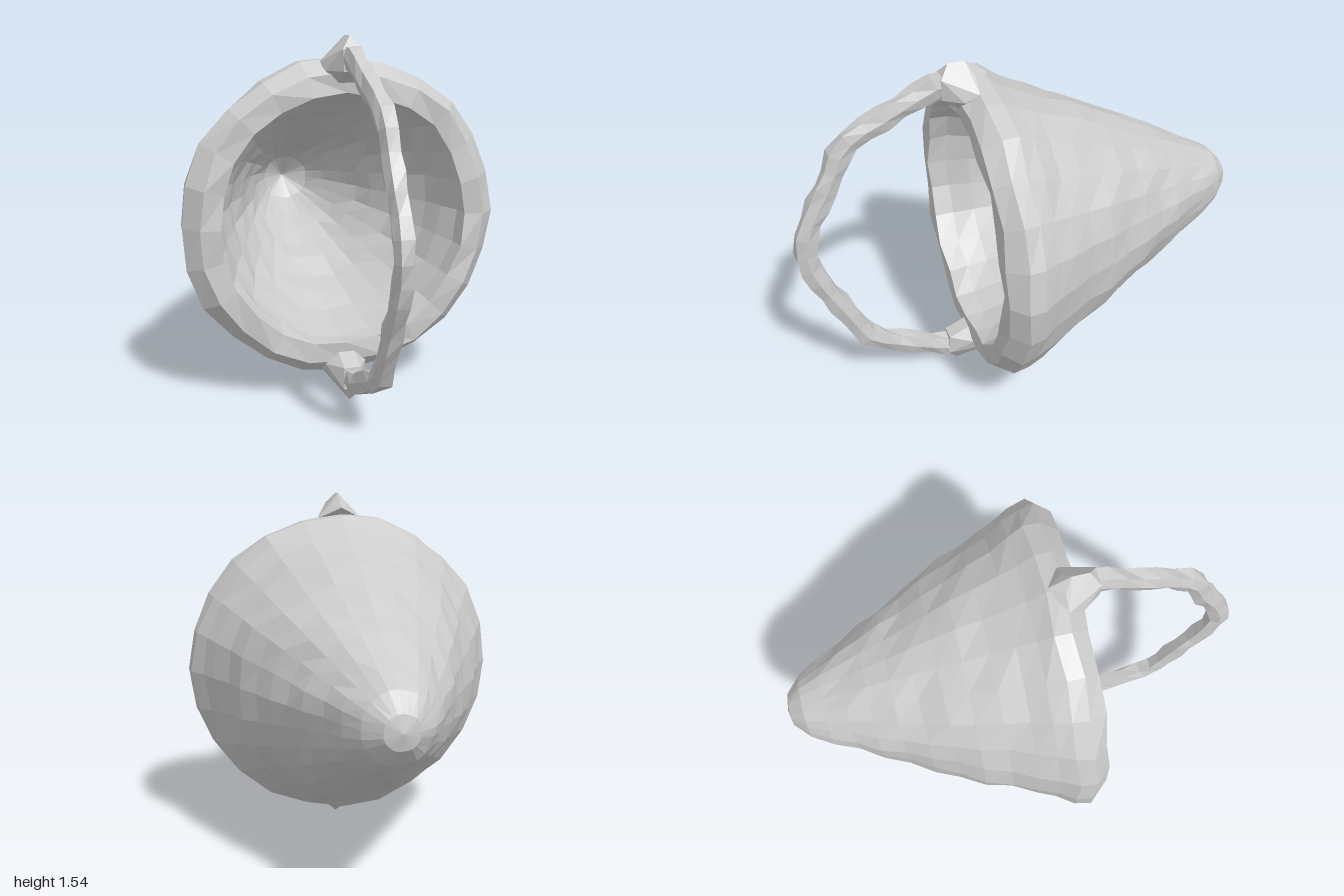
import * as THREE from 'three';
import { ConvexGeometry } from 'three/addons/geometries/ConvexGeometry.js';

const CY = 0.77; // height of the cone's axis
const material = new THREE.MeshStandardMaterial({ color: 0xcccccc, flatShading: true, side: THREE.DoubleSide });

function addMesh(group, geometry, name) {
  const mesh = new THREE.Mesh(geometry, material);
  mesh.name = name;
  group.add(mesh);
}

// Move every vertex of a geometry by a rule
function deform(geometry, rule) {
  const pos = geometry.attributes.position;
  const v = new THREE.Vector3();
  for (let i = 0; i < pos.count; i++) {
    v.fromBufferAttribute(pos, i);
    rule(v, i);
    pos.setXYZ(i, v.x, v.y, v.z);
  }
  geometry.computeVertexNormals();
  return geometry;
}

// Hollow cone: outer wall from the tip to the rim, then the inner wall back down
function basketGeometry() {
  const outer = [[0, -1], [0.07, -0.985], [0.14, -0.92], [0.19, -0.83], [0.24, -0.73], [0.295, -0.63],
    [0.345, -0.53], [0.395, -0.43], [0.45, -0.33], [0.5, -0.23], [0.545, -0.12], [0.59, -0.02],
    [0.635, 0.06], [0.672, 0.13]];
  const rim = [[0.682, 0.2], [0.625, 0.268], [0.54, 0.268]];
  const inner = [[0.53, 0.18], [0.505, 0.08], [0.47, -0.03], [0.425, -0.14], [0.38, -0.25],
    [0.325, -0.36], [0.275, -0.47], [0.225, -0.58], [0.17, -0.69], [0.11, -0.8], [0, -0.88]];
  const profile = [...outer, ...rim, ...inner].map(([r, z]) => new THREE.Vector2(r, z));
  const g = new THREE.LatheGeometry(profile, 24);
  g.rotateX(Math.PI / 2);
  // Uneven hand-built surface: shallow ripples that drift around the cone, and a wavy rim
  return deform(g, (v) => {
    const a = Math.atan2(v.y, v.x);
    const ripple = 0.006 * Math.sin(31 * v.z + 3 * Math.cos(2 * a)) + 0.006 * Math.sin(7 * a + 9 * v.z);
    const r = Math.hypot(v.x, v.y);
    if (r > 0.05) {
      const k = 1 + ripple / Math.max(r, 0.3);
      v.x *= k;
      v.y *= k;
    }
    if (v.z > 0.1) v.z += 0.008 * Math.sin(9 * a + 20 * r);
    v.y += CY;
  });
}

// Bowed, knobbly handle in the plane x = 0
function handleGeometry() {
  const path = [[1.41, 0.22], [1.465, 0.3], [1.42, 0.43], [1.36, 0.55], [1.3, 0.68], [1.23, 0.76],
    [1.1, 0.815], [0.94, 0.905], [0.77, 0.95], [0.62, 0.91], [0.49, 0.845], [0.37, 0.785],
    [0.26, 0.725], [0.185, 0.58], [0.125, 0.44], [0.095, 0.32], [0.14, 0.22]];
  const curve = new THREE.CatmullRomCurve3(path.map(([y, z]) => new THREE.Vector3(0, y, z)));
  const steps = 28, sides = 6;
  const g = new THREE.TubeGeometry(curve, steps, 0.05, sides);
  return deform(g, (v, i) => {
    const row = Math.floor(i / (sides + 1));
    const side = (i % (sides + 1)) % sides;
    const u = row / steps;
    const c = curve.getPointAt(u);
    const end = Math.max(0, 1 - Math.min(u, 1 - u) / 0.08);
    const k = 1 + 0.14 * Math.sin(row * 2.3 + side * 2) + 0.3 * end;
    v.sub(c).multiplyScalar(k).add(c);
    v.x = THREE.MathUtils.clamp(v.x, -0.04, 0.04);
  });
}

// Faceted joint spreading from the handle into the rim, mirrored in x
function jointGeometry(half) {
  const points = [];
  for (const [x, y, z] of half) {
    points.push(new THREE.Vector3(x, y, z));
    if (x > 0) points.push(new THREE.Vector3(-x, y, z));
  }
  return new ConvexGeometry(points);
}

export function createModel() {
  const group = new THREE.Group();
  group.name = 'conicalBasket';
  addMesh(group, basketGeometry(), 'basketBody');
  addMesh(group, handleGeometry(), 'handle');
  addMesh(group, jointGeometry([[0, 1.54, 0.3], [0, 1.54, 0.23], [0.04, 1.49, 0.34], [0.04, 1.49, 0.2],
    [0, 1.48, 0.14], [0.1, 1.43, 0.2], [0.09, 1.4, 0.26], [0.035, 1.35, 0.27], [0.035, 1.4, 0.34]]), 'upperHandleJoint');
  addMesh(group, jointGeometry([[0, 0, 0.32], [0.04, 0.07, 0.37], [0.04, 0.08, 0.22], [0, 0.08, 0.2],
    [0.1, 0.12, 0.2], [0.09, 0.15, 0.26], [0.035, 0.2, 0.27], [0.035, 0.16, 0.36]]), 'lowerHandleJoint');
  return group;
}
